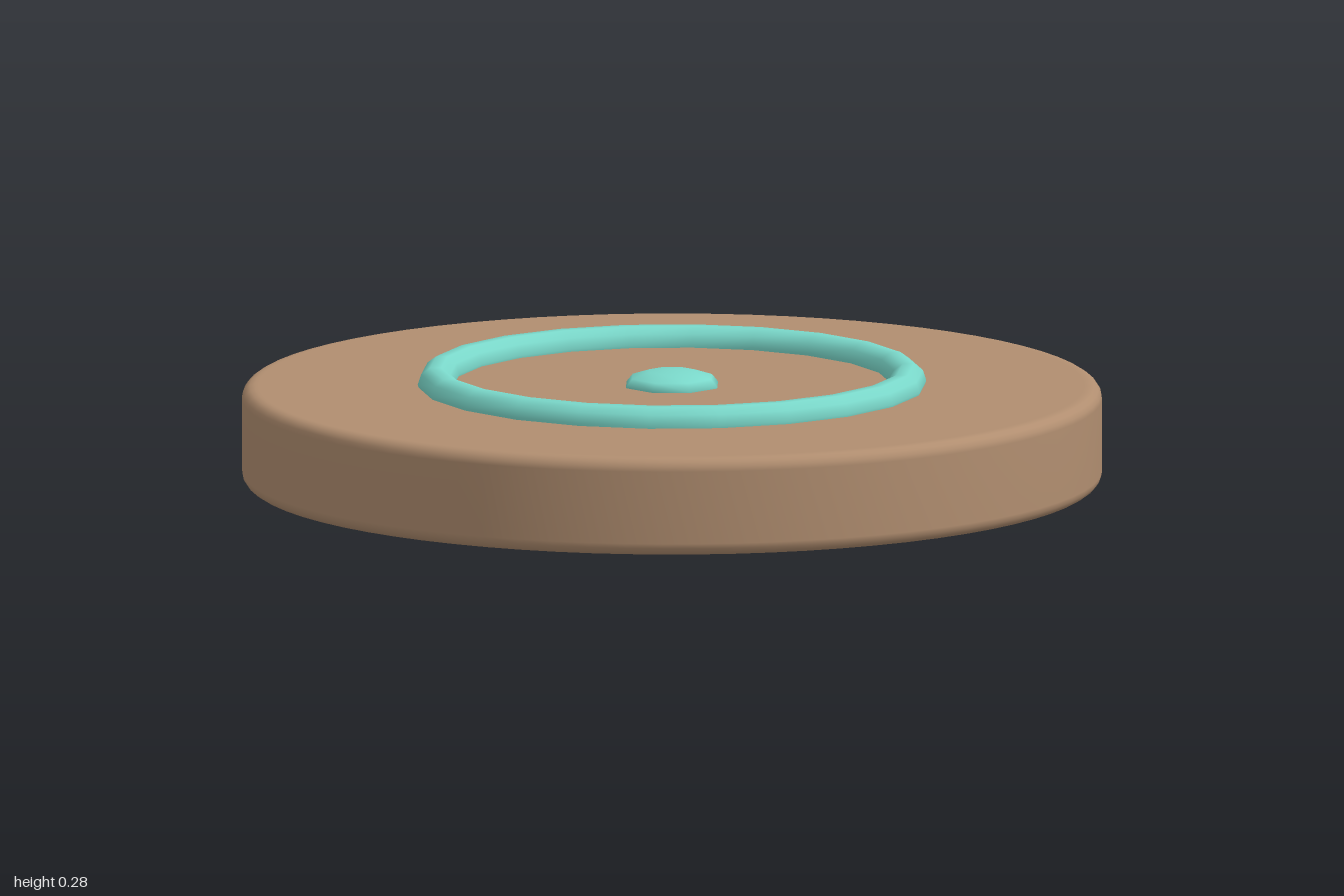
import * as THREE from 'three';

export function createModel() {
  const model = new THREE.Group();
  const wood = new THREE.MeshStandardMaterial({ color: 0xb18e70 });
  wood.name = 'warm brown';
  const teal = new THREE.MeshStandardMaterial({ color: 0x7ad8ca });
  teal.name = 'pale teal';

  const add = (name, geometry, material, y) => {
    const mesh = new THREE.Mesh(geometry, material);
    mesh.name = name;
    mesh.position.y = y;
    model.add(mesh);
    return mesh;
  };

  // Round base with softly rounded rims, turned from a profile
  const R = 1, H = 0.23, r = 0.03, steps = 4;
  const profile = [new THREE.Vector2(0, 0), new THREE.Vector2(R - r - 0.01, 0)];
  for (const [cy, start] of [[r, -Math.PI / 2], [H - r, 0]]) {
    for (let i = 0; i <= steps; i++) {
      const a = start + (i / steps) * Math.PI / 2;
      profile.push(new THREE.Vector2(R - r + r * Math.cos(a), cy + r * Math.sin(a)));
    }
  }
  profile.push(new THREE.Vector2(R - r - 0.01, H), new THREE.Vector2(0, H));
  add('base', new THREE.LatheGeometry(profile, 72), wood, 0);

  // Raised ring, half sunk into the top
  const ring = new THREE.TorusGeometry(0.55, 0.042, 10, 22);
  ring.rotateX(-Math.PI / 2);
  add('ring', ring, teal, 0.236);

  // Low domed stud in the middle
  const stud = new THREE.SphereGeometry(0.115, 8, 6);
  stud.rotateY(Math.PI / 8);
  stud.scale(1, 0.32, 1);
  add('centreStud', stud, teal, 0.232);

  return model;
}
